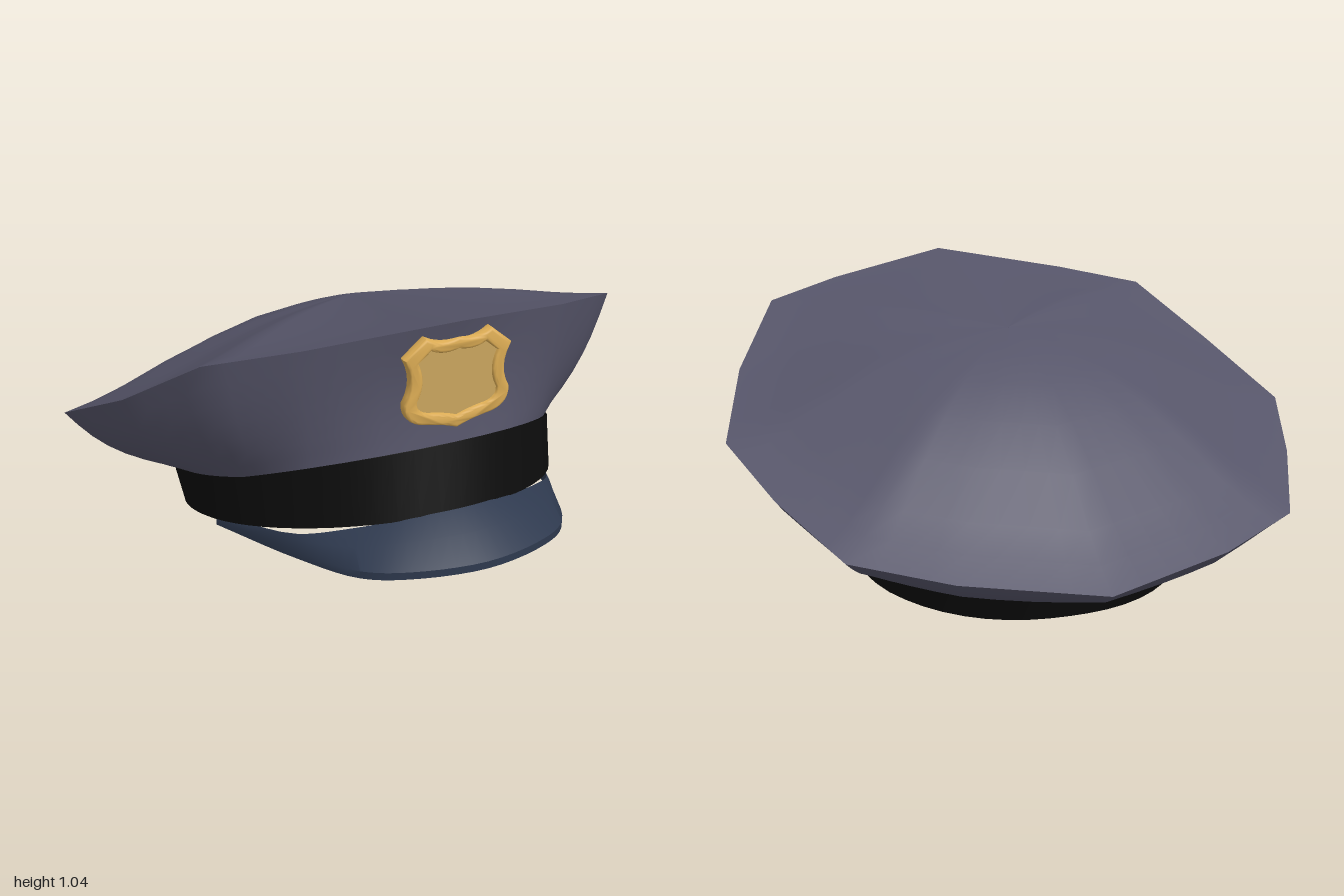
import * as THREE from 'three';
import { toCreasedNormals } from 'three/addons/utils/BufferGeometryUtils.js';

const V = (x, y, z) => new THREE.Vector3(x, y, z);

// Piecewise-linear lookup through [z, y] pairs with falling z
function ramp(pairs, z) {
  for (let i = 0; i < pairs.length - 1; i++) {
    const [z0, y0] = pairs[i], [z1, y1] = pairs[i + 1];
    if (z >= z1 || i === pairs.length - 2) return y0 + (y1 - y0) * (z0 - z) / (z0 - z1);
  }
}

// Skin over rows of points; rows run upward, columns to the right seen from outside
function loft(rows, closed, crease) {
  const n = rows[0].length, pos = [], idx = [];
  rows.forEach(row => row.forEach(p => pos.push(p.x, p.y, p.z)));
  for (let i = 0; i < rows.length - 1; i++) {
    for (let j = 0; j < (closed ? n : n - 1); j++) {
      const k = (j + 1) % n;
      const a = i * n + j, b = i * n + k, c = a + n, d = b + n;
      idx.push(a, b, d, a, d, c);
    }
  }
  const g = new THREE.BufferGeometry();
  g.setAttribute('position', new THREE.Float32BufferAttribute(pos, 3));
  g.setIndex(idx);
  g.computeVertexNormals();
  return crease ? toCreasedNormals(g, crease) : g;
}

// Oval outline of the band; the back is a little squarer than the front
function oval(a, rx, rz, cz) {
  const s = Math.sin(a), c = Math.cos(a), e = c > 0 ? 2 : 2.3;
  const r = Math.pow(Math.pow(Math.abs(s) / rx, e) + Math.pow(Math.abs(c) / rz, e), -1 / e);
  return [s * r, cz + c * r];
}

const bandTop = z => ramp([[0.72, 0.63], [0.34, 0.45], [-0.15, 0.27], [-0.68, 0.12]], z);
const bandBottom = z => ramp([[0.78, 0.42], [0.15, 0.22], [-0.32, 0.06], [-0.62, 0]], z);

// Peaked rim of the crown, front to back along the left half
const RIM = [
  [0, 1.04, 0.74], [0.45, 0.965, 0.59], [0.72, 0.91, 0.45], [0.89, 0.72, 0.18], [1, 0.55, -0.16],
  [0.9, 0.42, -0.42], [0.75, 0.29, -0.7], [0.45, 0.23, -0.83], [0, 0.18, -0.95],
].map(p => V(...p));

function rimLoop(sub) {
  const mirrored = RIM.slice(1, -1).reverse().map(p => V(-p.x, p.y, p.z));
  const pts = [...RIM, ...mirrored], out = [];
  pts.forEach((p, i) => {
    for (let k = 0; k < sub; k++) out.push(p.clone().lerp(pts[(i + 1) % pts.length], k / sub));
  });
  return out;
}

// Smooth curve mirrored about x = 0, running from right to left
function mirroredCurve(half, drop = 0) {
  const left = half.map(([x, y, z]) => V(x, y - drop, z));
  const right = left.slice(1).reverse().map(p => V(-p.x, p.y, p.z));
  return new THREE.CatmullRomCurve3([...right, ...left]).getPoints(40);
}

function shieldPath(scale, Type) {
  const cy = 0.845;
  const P = (x, y) => [x * scale, cy + (y - cy) * scale];
  const s = new Type();
  s.moveTo(...P(0, 0.695));
  s.quadraticCurveTo(...P(0.05, 0.715), ...P(0.12, 0.725));
  s.quadraticCurveTo(...P(0.175, 0.74), ...P(0.17, 0.79));
  s.quadraticCurveTo(...P(0.13, 0.86), ...P(0.17, 0.935));
  s.lineTo(...P(0.11, 0.985));
  s.quadraticCurveTo(...P(0.06, 0.955), ...P(0, 0.975));
  s.quadraticCurveTo(...P(-0.06, 0.955), ...P(-0.11, 0.985));
  s.lineTo(...P(-0.17, 0.935));
  s.quadraticCurveTo(...P(-0.13, 0.86), ...P(-0.17, 0.79));
  s.quadraticCurveTo(...P(-0.175, 0.74), ...P(-0.12, 0.725));
  s.quadraticCurveTo(...P(-0.05, 0.715), ...P(0, 0.695));
  return s;
}

export function createModel() {
  const group = new THREE.Group();
  const material = (name, color, side = THREE.FrontSide) => {
    const m = new THREE.MeshStandardMaterial({ color, side });
    m.name = name;
    return m;
  };
  const cloth = material('slate cloth', 0x555468, THREE.DoubleSide);
  const black = material('black band', 0x0c0c0c, THREE.DoubleSide);
  const navy = material('navy visor', 0x2e394e, THREE.DoubleSide);
  const gold = material('bright gold', 0xdcac54);
  const dullGold = material('soft gold', 0xc9a55e);
  const add = (name, geometry, mat) => {
    const m = new THREE.Mesh(geometry, mat);
    m.name = name;
    group.add(m);
  };

  // Crown wall: flares from the band out to the peaked rim, open underneath
  const rim = rimLoop(4);
  const angles = rim.map(p => Math.atan2(p.x, p.z - 0.02));
  const wallRows = [0, 0.12, 0.25, 0.4, 0.55, 0.7, 0.85, 1].map(f => rim.map((p, j) => {
    const a = angles[j];
    const [x, z] = oval(a, 0.635, 0.69, 0.02);
    const q = V(x, bandTop(z), z).lerp(p, f);
    const front = Math.max(0, Math.cos(a)) ** 2;
    const swell = Math.sin(Math.PI * f) * (0.035 - 0.06 * front);
    q.x += Math.sin(a) * swell;
    q.z += Math.cos(a) * swell;
    q.y -= Math.sin(Math.PI * f) * 0.025 * (1 - front);
    return q;
  }));
  add('crownWall', loft(wallRows, true), cloth);

  // Crown top: slopes to the back with a swell behind the middle
  const centre = V(0, 0.85, -0.05);
  const topRows = [1, 0.9, 0.8, 0.65, 0.5, 0.35, 0.2, 0.1, 0.001].map(f => rim.map((p, j) => {
    const q = centre.clone().lerp(p, f);
    const back = (1 - Math.cos(angles[j])) / 2;
    q.y += 0.09 * back * Math.sin(Math.PI * Math.min(1, f / 0.85));
    return q;
  }));
  add('crownTop', loft(topRows, true), cloth);

  // Head band: thin tilted ring with inner and outer faces
  const ring = (rx, rz, cz, height) => Array.from({ length: 64 }, (_, j) => {
    const [x, z] = oval(j / 64 * Math.PI * 2, rx, rz, cz);
    return V(x, height(z), z);
  });
  const bandRows = [
    ring(0.605, 0.66, 0.02, bandTop), ring(0.59, 0.67, 0.08, bandBottom),
    ring(0.62, 0.70, 0.08, bandBottom), ring(0.64, 0.70, 0.025, bandTop),
  ];
  add('headBand', loft(bandRows, true, 0.8), black);

  // Visor: curved plate wrapped around the front of the band
  const inner = [[0, 0.43, 0.78], [0.18, 0.415, 0.745], [0.33, 0.375, 0.665], [0.46, 0.325, 0.545], [0.585, 0.235, 0.18]];
  const outer = [[0, 0.33, 0.95], [0.24, 0.32, 0.89], [0.36, 0.305, 0.80], [0.47, 0.275, 0.57], [0.6, 0.225, 0.18]];
  const middle = inner.map((p, i) => p.map((v, k) => (v + outer[i][k]) / 2 + (k === 1 ? 0.01 : 0)));
  const visorRows = [
    mirroredCurve(inner, 0.025), mirroredCurve(middle, 0.025), mirroredCurve(outer, 0.025),
    mirroredCurve(outer), mirroredCurve(middle), mirroredCurve(inner),
  ];
  add('visor', loft(visorRows, false, 0.8), navy);

  // Shield badge: rounded raised border around a flat plate
  const border = shieldPath(1, THREE.Shape);
  border.holes.push(shieldPath(0.86, THREE.Path));
  const borderGeo = new THREE.ExtrudeGeometry(border, {
    depth: 0.016, bevelEnabled: true, bevelThickness: 0.012, bevelSize: 0.01, bevelSegments: 3, curveSegments: 6,
  });
  add('badgeBorder', toCreasedNormals(borderGeo.translate(0, 0, 0.705), 0.9), gold);
  const plate = new THREE.ExtrudeGeometry(shieldPath(0.92, THREE.Shape), { depth: 0.025, bevelEnabled: false, curveSegments: 6 });
  add('badgePlate', plate.translate(0, 0, 0.697), dullGold);

  return group;
}
